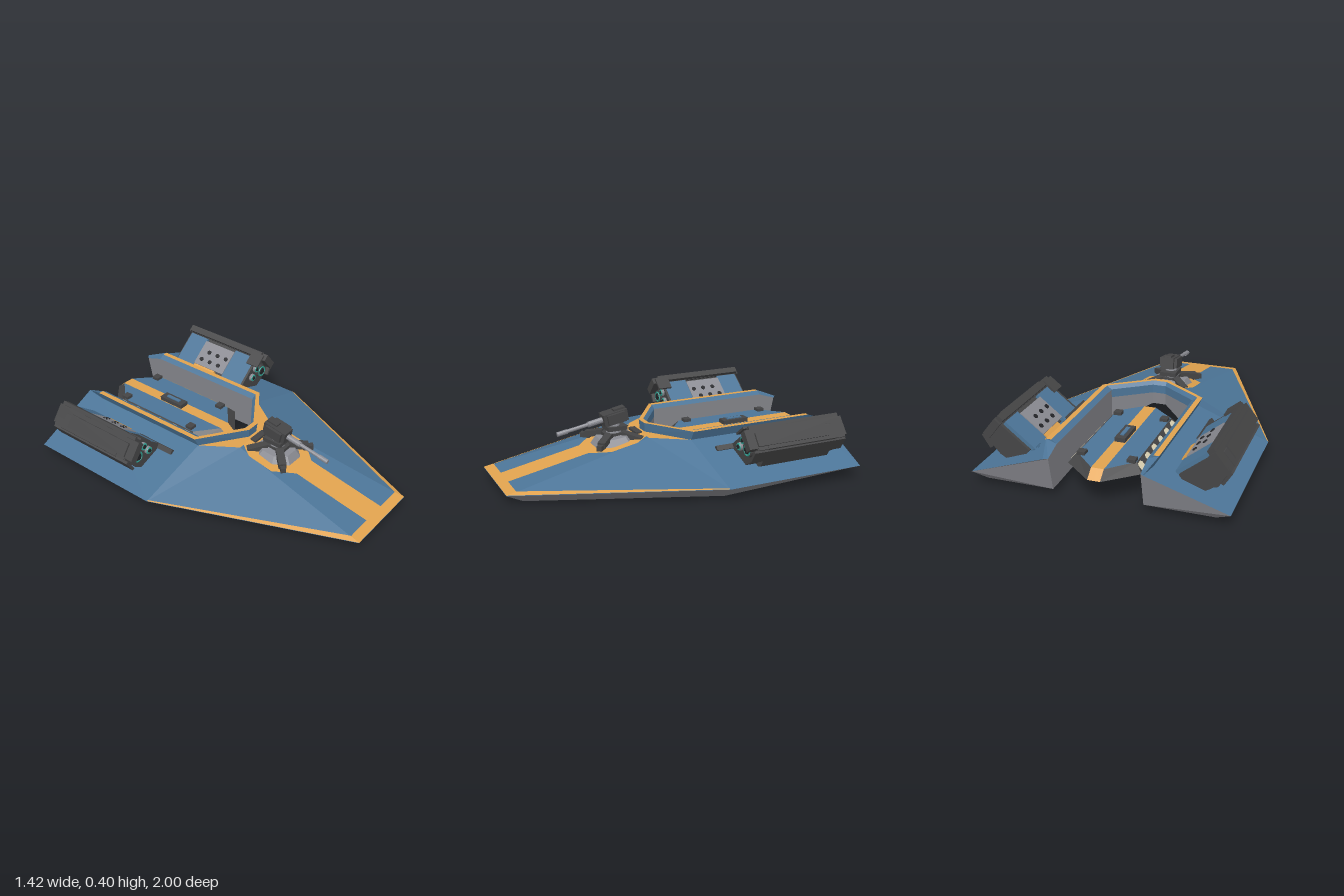
import * as THREE from 'three';

const mat = (name, color) => new THREE.MeshStandardMaterial({ name, color, side: THREE.DoubleSide, flatShading: true });

export function createModel() {
  const blue = mat('blue paint', 0x4c7598), orange = mat('orange paint', 0xe0a24e);
  const grey = mat('hull grey', 0x84858b), dark = mat('dark metal', 0x454546);
  const light = mat('light metal', 0x8b8c93), cream = mat('lamp cream', 0xe2d8b8);
  const teal = mat('teal glow', 0x2fa596), black = mat('black recess', 0x232428);

  const model = new THREE.Group();
  model.name = 'skimmer';

  // Flat polygons, each split as a fan from its first corner
  const faces = (parent, name, m, polys) => {
    const p = [];
    for (const f of polys) for (let i = 1; i < f.length - 1; i++) p.push(...f[0], ...f[i], ...f[i + 1]);
    const g = new THREE.BufferGeometry();
    g.setAttribute('position', new THREE.Float32BufferAttribute(p, 3));
    g.computeVertexNormals();
    return add(parent, name, g, m);
  };
  const add = (parent, name, g, m, x = 0, y = 0, z = 0) => {
    const o = new THREE.Mesh(g, m);
    o.name = name;
    o.position.set(x, y, z);
    parent.add(o);
    return o;
  };
  const box = (parent, name, m, w, h, d, x, y, z) => add(parent, name, new THREE.BoxGeometry(w, h, d), m, x, y, z);
  const rod = (parent, name, m, r, len, x, y, z, sides = 12) => {
    const g = new THREE.CylinderGeometry(r, r, len, sides).rotateX(Math.PI / 2);
    return add(parent, name, g, m, x, y, z);
  };
  const prism = (parent, name, m, pts, z0, z1) => {
    const shape = new THREE.Shape(pts.map(([x, y]) => new THREE.Vector2(x, y)));
    return add(parent, name, new THREE.ExtrudeGeometry(shape, { depth: z1 - z0, bevelEnabled: false }), m, 0, 0, z0);
  };
  const lerp = (a, b, t) => a.map((v, i) => v + (b[i] - v) * t);
  const lift = (p) => [p[0], p[1] + 0.003, p[2]];
  const mirrored = (half, name) => {
    const other = half.clone();
    half.name = name + 'Left';
    other.name = name + 'Right';
    other.scale.x = -1;
    model.add(half, other);
  };

  // Hull, left half
  const hull = new THREE.Group();
  const B0 = [0, 0.06, 1], B = [0.24, 0.06, 1], S = [0.71, 0.08, -0.11], R = [0.71, 0.08, -0.97];
  const T = [0.27, 0.24, -1], Ti = [0.25, 0.235, -0.98], F0 = [0, 0.235, 0.12], F = [0.15, 0.235, 0.12];
  const D1 = [0.285, 0.235, -0.085], D2 = [0.285, 0.235, -0.87];
  faces(hull, 'deck', blue, [[B0, B, F, F0], [B, S, F], [S, D1, F], [S, R, D2, D1], [R, T, D2]]);

  // Grey flanks and slot walls, dark keel rising to the head of the slot
  const b0 = [0, 0.002, 0.9], b = [0.21, 0.002, 0.9], s = [0.63, 0.012, -0.12], r = [0.63, 0.04, -0.94];
  const slot = [[0, 0.05], [0.04, 0.05], [0.25, -0.1], [0.25, -0.87], [0.25, -0.94]];
  const lowY = [0.15, 0.15, 0.06, 0.04, 0.04];
  const low = slot.map(([x, z], i) => [x, lowY[i], z]);
  const wallTop = slot.map(([x, z]) => [x, 0.27, z]);
  wallTop[4] = Ti;
  const wallMid = wallTop.slice(0, 3).map(([x, , z]) => [x, 0.22, z]);
  faces(hull, 'flank', grey, [[B0, b0, b, B], [B, b, s, S], [S, s, r, R], [R, r, low[4], Ti, T]]);
  faces(hull, 'keel', dark, [[b, s, low[2], low[1], low[0], b0], [s, r, low[4], low[3], low[2]]]);
  const band = (a, c) => a.slice(1).map((p, i) => [a[i], p, c[i + 1], c[i]]);
  faces(hull, 'slotWall', grey, [...band(low.slice(2), wallTop.slice(2)), ...band(low.slice(0, 3), wallMid)]);
  faces(hull, 'slotHead', blue, band(wallMid, wallTop.slice(0, 3)));

  // Raised rim round the slot, leaning outward
  const foot = [[0, 0.095], [0.035, 0.095], [0.285, -0.085], [0.285, -0.87]].map(([x, z]) => [x, 0.235, z]);
  const lip = [[0, 0.1], [0.04, 0.1], [0.31, -0.09], [0.31, -0.87]].map(([x, z]) => [x, 0.29, z]);
  const mid = [[0, 0.07], [0.04, 0.07], [0.28, -0.097], [0.28, -0.87]].map(([x, z]) => [x, 0.29, z]);
  faces(hull, 'rimWall', blue, [
    ...band(foot, lip), ...band(mid, wallTop.slice(0, 4)),
    [foot[3], lip[3], T], [lip[3], mid[3], wallTop[3], Ti, T],
  ]);
  faces(hull, 'rimStripe', orange, band(lip, mid));
  faces(hull, 'deckYStripe', orange, [[foot[1], foot[0], F0, F, D1]]);

  // Painted bow band, edge band, centre stripe and turret patch
  const slope = (x, z) => [x, 0.0635 + (1 - z) * 0.1989, z];
  faces(hull, 'bowStripe', orange, [
    [B0, B, lerp(B, F, 0.065), lerp(B0, F0, 0.065)].map(lift),
    [B, S, lerp(S, F, 0.015), lerp(B, F, 0.07)].map(lift),
    [slope(0, 0.96), slope(0.075, 0.96), slope(0.075, 0.45), slope(0, 0.45)],
    [slope(0, 0.47), slope(0.075, 0.47), slope(0.17, 0.36), slope(0.17, 0.2), slope(0.12, 0.12), slope(0, 0.12)],
  ]);
  mirrored(hull, 'hull');

  // Docked craft in the slot: an open shell with lamps along its bevels
  const craft = new THREE.Group();
  const top = 0.2, drop = 0.045;
  const inn = [[0.035, -0.93], [0.165, -0.8], [0.165, -0.23], [0.035, -0.12]].map(([x, z]) => [x, top, z]);
  const out = [[0.035, -0.985], [0.205, -0.84], [0.205, -0.2], [0.035, -0.065]].map(([x, z]) => [x, top - drop, z]);
  faces(craft, 'craftPanel', blue, [inn]);
  faces(craft, 'craftBevel', dark, band(out, inn));
  const run = [out[0], inn[0], inn[3], out[3]];
  faces(craft, 'craftStripe', orange, band(run, run.map(([, y, z]) => [0, y, z])));
  for (let i = 0; i < 6; i++) for (const e of [0.003, -0.003]) {
    const z = -0.79 + i * 0.105;
    const at = (t, dz) => [0.165 + 0.04 * t + e, top - drop * t + e, z + dz];
    faces(craft, 'lamp', cream, [[
      at(0.15, -0.018), at(0.35, -0.028), at(0.85, -0.028), at(0.85, 0.028), at(0.35, 0.028), at(0.15, 0.018),
    ]]);
  }
  for (const z of [-0.8, -0.27]) box(craft, 'clamp', dark, 0.045, 0.02, 0.045, 0.14, top + 0.008, z);
  mirrored(craft, 'craft');
  box(model, 'hatch', dark, 0.06, 0.04, 0.17, 0, top + 0.005, -0.53);
  box(model, 'hatchWindow', blue, 0.022, 0.008, 0.1, 0, top + 0.027, -0.53);

  // Tilted launcher pod: local x runs outward, local y is the panel normal
  const side = new THREE.Group(), pod = new THREE.Group();
  pod.name = 'launcherPod';
  pod.position.set(0.548, 0.236, 0);
  pod.rotation.z = 0.67;
  side.add(pod);
  const podProfile = [[-0.13, 0.058], [0.1, 0.058], [0.125, 0.03], [0.128, -0.06], [-0.02, -0.112], [-0.13, -0.07]];
  prism(pod, 'podBody', dark, podProfile, -0.81, -0.36);
  prism(pod, 'podCore', dark, podProfile.map(([x, y]) => [x * 0.97, Math.max(y, -0.085)]), -0.87, -0.3);
  prism(pod, 'frontCap', dark, [[-0.15, 0.06], [-0.14, 0.079], [0.1, 0.079], [0.12, -0.06], [0, -0.085], [-0.14, -0.07]], -0.31, -0.295);
  for (const [z, d] of [[-0.39, 0.16], [-0.78, 0.14]]) {
    box(pod, 'podPanel', blue, 0.21, 0.022, d, -0.035, 0.068, z);
    box(pod, 'podPanelFoot', blue, 0.018, 0.1, d - 0.02, -0.138, 0.02, z);
  }
  box(pod, 'ventPlate', light, 0.17, 0.028, 0.24, -0.032, 0.07, -0.59);
  for (let i = 0; i < 6; i++) {
    const g = new THREE.CylinderGeometry(0.014, 0.014, 0.006, 10);
    add(pod, 'ventHole', g, black, -0.075 + (i % 2) * 0.06, 0.086, -0.67 + Math.floor(i / 2) * 0.07 + (i % 2) * 0.03);
  }
  box(pod, 'outerCover', dark, 0.045, 0.115, 0.64, 0.1, 0.01, -0.565);
  box(pod, 'outerPlate', dark, 0.016, 0.08, 0.46, 0.126, 0, -0.53);
  box(pod, 'skirtPlate', dark, 0.085, 0.016, 0.6, 0.08, -0.08, -0.57).rotation.z = 0.34;
  box(pod, 'topLip', dark, 0.04, 0.03, 0.59, 0.1, 0.075, -0.575);
  box(pod, 'frontGuard', dark, 0.02, 0.03, 0.26, -0.14, 0.066, -0.32);
  box(pod, 'frontBlade', dark, 0.09, 0.012, 0.09, 0.06, 0.088, -0.3);
  box(pod, 'footStripe', orange, 0.036, 0.022, 0.17, -0.136, 0.071, -0.62);
  // Launch tubes
  for (const [x, y, rad, m] of [[0.03, -0.02, 0.042, dark], [0.015, 0.045, 0.024, light], [-0.045, 0.03, 0.024, light]]) {
    rod(pod, 'launchTube', m, rad, 0.03, x, y, -0.295, 16);
    add(pod, 'tubeRing', new THREE.TorusGeometry(rad * 0.72, 0.005, 6, 16), teal, x, y, -0.28);
    rod(pod, 'tubeCore', black, rad * 0.5, 0.01, x, y, -0.278, 10);
  }
  mirrored(side, 'side');

  // Turret base and its four legs
  const turret = new THREE.Group();
  turret.name = 'turret';
  turret.position.set(0, 0.2, 0.28);
  model.add(turret);
  const plinth = new THREE.CylinderGeometry(0.105, 0.14, 0.045, 8).rotateY(Math.PI / 8);
  add(turret, 'plinth', plinth, light, 0, 0.015, 0).rotation.x = 0.1;
  for (let i = 0; i < 4; i++) {
    const leg = new THREE.Group();
    leg.name = 'turretLeg';
    leg.rotation.y = Math.PI / 4 + (i * Math.PI) / 2;
    box(leg, 'legBeam', dark, 0.045, 0.035, 0.12, 0, 0.032, 0.12).rotation.x = 0.2;
    box(leg, 'legFoot', dark, 0.03, 0.03, 0.06, 0, 0.012, 0.18);
    turret.add(leg);
  }
  box(turret, 'rearBlock', dark, 0.11, 0.04, 0.04, 0, 0.025, -0.14);
  box(turret, 'plinthCap', dark, 0.1, 0.02, 0.13, 0, 0.043, 0);
  add(turret, 'column', new THREE.CylinderGeometry(0.035, 0.05, 0.08, 10), light, 0, 0.07, 0);
  box(turret, 'yoke', dark, 0.1, 0.025, 0.12, 0, 0.08, -0.01);

  // Tilted gun head
  const gun = new THREE.Group();
  gun.name = 'gunHead';
  gun.position.set(0, 0.143, 0);
  gun.rotation.x = 0.18;
  turret.add(gun);
  box(gun, 'gunBody', dark, 0.075, 0.07, 0.15, 0, 0, -0.005);
  for (const x of [-0.045, 0.045]) box(gun, 'gunCheek', dark, 0.02, 0.06, 0.11, x, 0, -0.005);
  box(gun, 'gunSight', dark, 0.04, 0.02, 0.07, 0, 0.036, -0.04);
  rod(gun, 'gunSleeve', light, 0.017, 0.1, 0, 0, 0.11);
  rod(gun, 'gunBarrel', light, 0.011, 0.2, 0, 0, 0.22);
  rod(gun, 'gunMuzzle', light, 0.014, 0.06, 0, 0, 0.32);

  return model;
}
